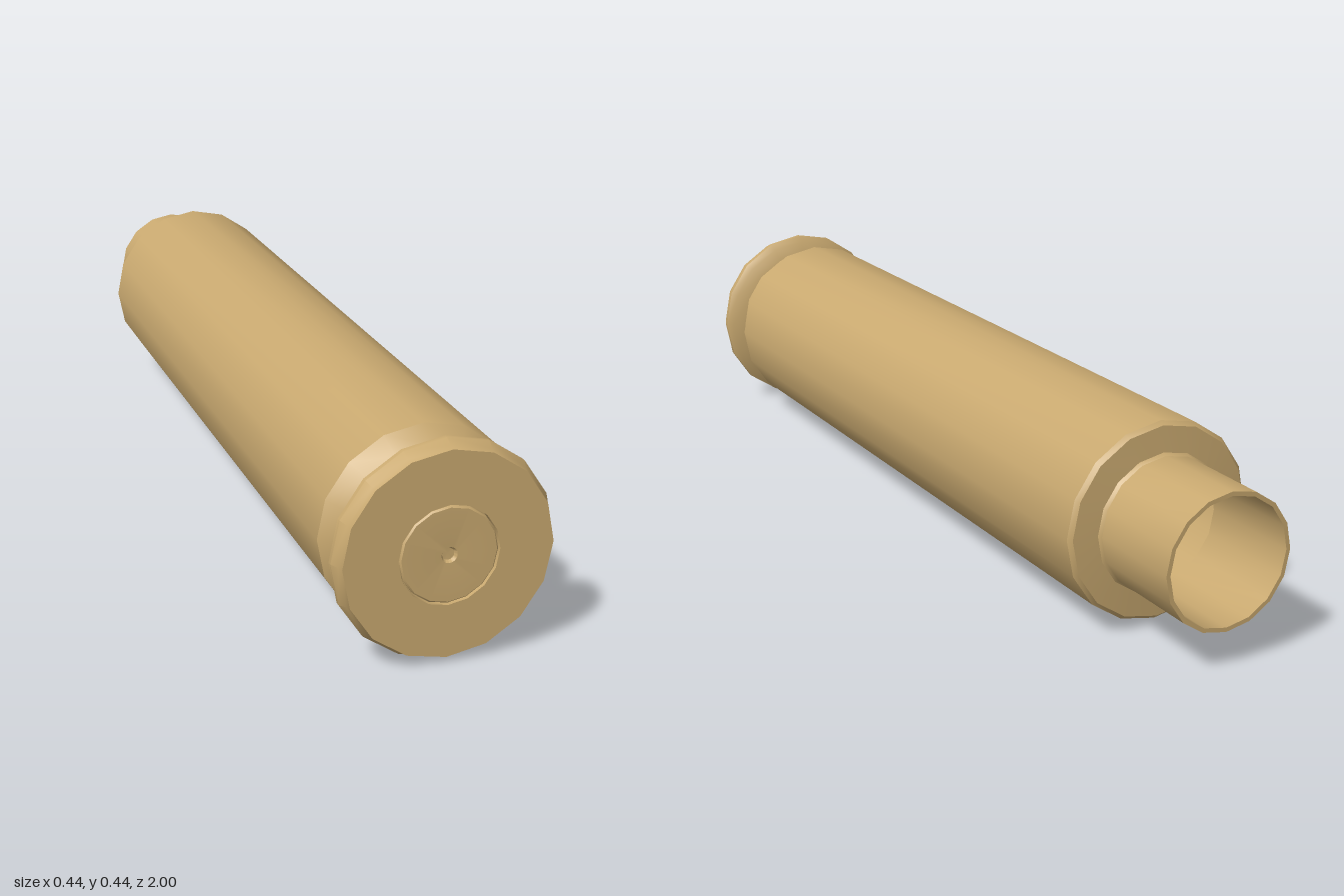
import * as THREE from 'three';
import { toCreasedNormals } from 'three/addons/utils/BufferGeometryUtils.js';

const SIDES = 16;
const AXIS_HEIGHT = 0.22;

// Revolve [radius, z] points around the lengthwise axis
function turned(name, profile, material) {
  const points = profile.map(([r, z]) => new THREE.Vector2(r, z));
  const geometry = new THREE.LatheGeometry(points, SIDES).rotateX(Math.PI / 2);
  const mesh = new THREE.Mesh(toCreasedNormals(geometry, 0.5), material);
  mesh.name = name;
  return mesh;
}

export function createModel() {
  const brass = new THREE.MeshStandardMaterial({ color: 0xc9a970, side: THREE.DoubleSide });
  brass.name = 'brass';

  const model = new THREE.Group();
  model.name = 'cartridgeCase';

  // Hollow inside, from the closed end out to the mouth
  model.add(turned('innerWall', [
    [0, 0.84], [0.19, 0.82], [0.2, -0.76], [0.132, -0.77], [0.132, -1],
  ], brass));

  // Mouth lip, neck, flat shoulder and straight body
  model.add(turned('neckAndBody', [
    [0.132, -1], [0.141, -1], [0.141, -0.785], [0.146, -0.778],
    [0.2, -0.774], [0.208, -0.765], [0.208, 0.863],
  ], brass));

  // Extractor groove, bevelled rim and flat head with a primer pocket
  model.add(turned('grooveAndRim', [
    [0.208, 0.863], [0.175, 0.897], [0.175, 0.938], [0.205, 0.948],
    [0.219, 0.96], [0.219, 0.97], [0.21, 0.988], [0.207, 1],
    [0.1, 1], [0.099, 0.985],
  ], brass));

  // Primer cup with a small firing pin dent
  model.add(turned('primer', [
    [0.097, 0.985], [0.097, 0.996], [0.094, 0.999], [0.016, 0.999], [0.012, 0.992], [0, 0.99],
  ], brass));

  model.children.forEach((part) => { part.position.y = AXIS_HEIGHT; });
  return model;
}
